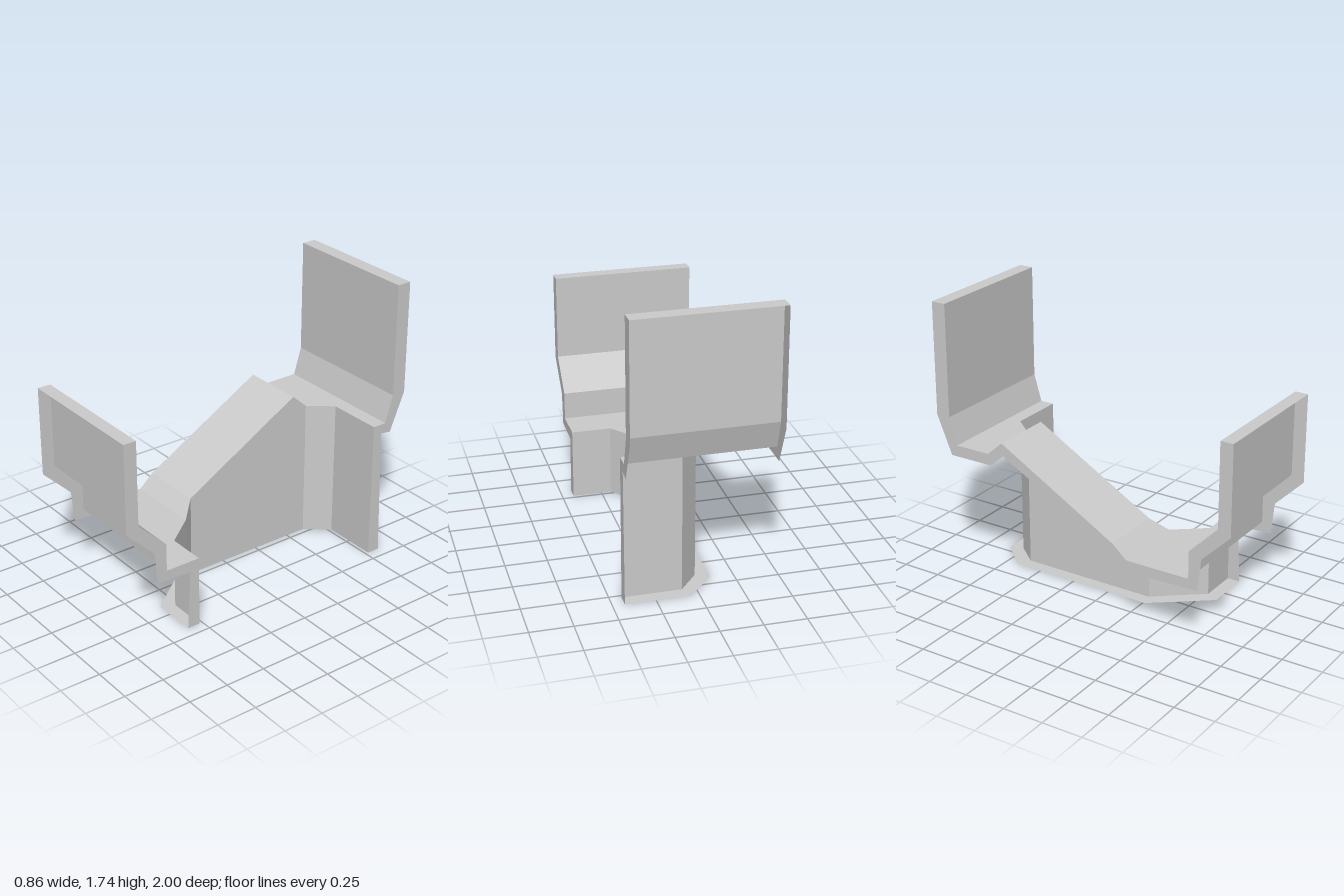
import * as THREE from 'three';

const W = 0.43; // half width

// Strip of quads joining two equally long rows of points
function ribbon(name, rowA, rowB) {
  const pos = [];
  for (let i = 0; i < rowA.length - 1; i++) {
    const a0 = rowA[i], a1 = rowA[i + 1], b0 = rowB[i], b1 = rowB[i + 1];
    pos.push(...a0, ...b0, ...a1, ...b0, ...b1, ...a1);
  }
  const geo = new THREE.BufferGeometry();
  geo.setAttribute('position', new THREE.Float32BufferAttribute(pos, 3));
  geo.computeVertexNormals();
  const mesh = new THREE.Mesh(geo, new THREE.MeshStandardMaterial({
    color: 0xcccccc, flatShading: true, side: THREE.DoubleSide,
  }));
  mesh.name = name;
  return mesh;
}

// Profile points [z, y] placed at a given x
const at = (x, profile) => profile.map(([z, y]) => [x, y, z]);

export function createModel() {
  const group = new THREE.Group();
  group.name = 'bracket';

  // Folded sheet from front to back: [z, y, right edge x]
  const sheet = [
    [0.92, 1.31, W], [0.92, 0.79, W], [0.74, 0.61, W], [0.74, 0.44, W],
    [0.52, 0.44, W], [0.52, 0.44, 0.19], [0.33, 0.44, 0.04], [0.24, 0.52, -0.035],
    [-0.53, 0.96, -0.035], [-0.63, 0.87, -0.035], [-0.77, 0.87, 0.08],
    [-0.77, 0.87, W], [-0.86, 0.87, W], [-0.91, 1.04, W], [-0.91, 1.74, W],
  ];
  const edge = sheet.map(([z, y, x]) => [x, y, z]);
  group.add(ribbon('foldedSheet', at(-W, sheet), edge));

  // Skirt wall hanging from the cut-out down to the ground
  const wallTop = edge.slice(4, 12);
  const wallFoot = wallTop.map(([x, , z]) => [x, 0, z]);
  group.add(ribbon('skirtWall', wallTop, wallFoot));

  // Rim along the foot of the skirt
  const footOuter = [
    [W, 0.6], [0.15, 0.6], [0, 0.41], [-0.115, 0.26],
    [-0.115, -0.53], [-0.115, -0.67], [0.045, -0.85], [W, -0.85],
  ].map(([x, z]) => [x, 0, z]);
  group.add(ribbon('footRim', wallFoot, footOuter));

  // Full rim on the uncut side
  const inner = [...sheet.slice(0, 4), ...sheet.slice(6, 10), ...sheet.slice(12)];
  const outer = [
    [1, 1.31], [1, 0.76], [0.82, 0.58], [0.8, 0.38], [0.36, 0.37], [0.27, 0.45],
    [-0.52, 0.88], [-0.61, 0.8], [-0.9, 0.8], [-1, 1.04], [-1, 1.74],
  ];
  group.add(ribbon('sideRim', at(-W, outer), at(-W, inner)));

  // Rims on the cut side, running down the ends of the skirt
  group.add(ribbon('frontEndRim',
    at(W, [...sheet.slice(0, 5), [0.52, 0]]),
    at(W, [...outer.slice(0, 4), [0.58, 0.37], [0.6, 0]])));
  group.add(ribbon('backEndRim',
    at(W, [[-0.77, 0], ...sheet.slice(11)]),
    at(W, [[-0.85, 0], [-0.83, 0.81], ...outer.slice(8)])));

  // Top rims of the two upright plates
  for (const [name, z0, z1, y] of [['frontTopRim', 1, 0.92, 1.31], ['backTopRim', -0.91, -1, 1.74]]) {
    const row = [[z0, y], [z1, y]];
    group.add(ribbon(name, at(-W, row), at(W, row)));
  }
  return group;
}
